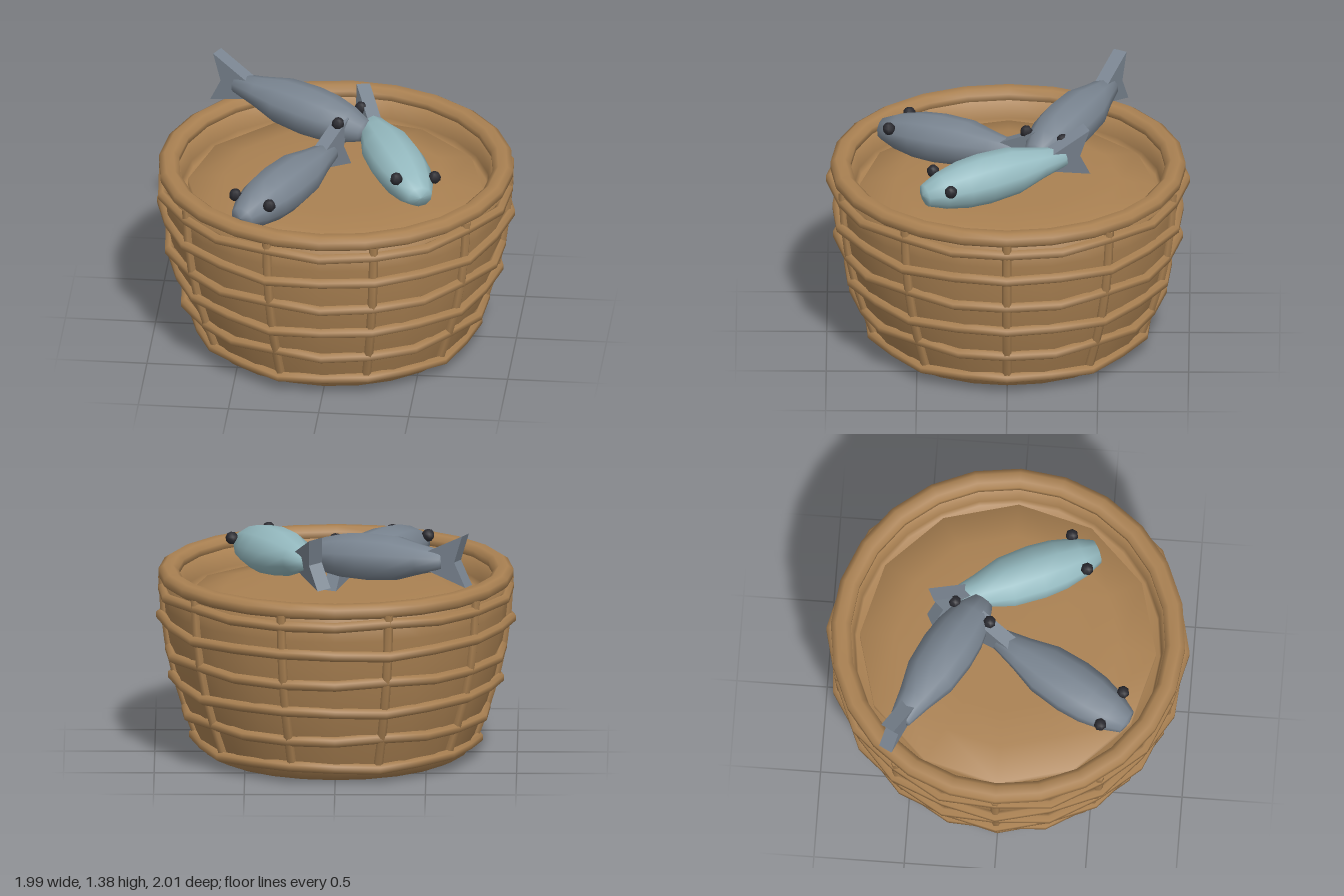
import * as THREE from 'three';

const mat = (name, color) => {
  const m = new THREE.MeshStandardMaterial({ color });
  m.name = name;
  return m;
};
const v2 = (pts) => pts.map(([x, y]) => new THREE.Vector2(x, y));

// Radius of the basket wall at height y
const wallRadius = (y) => 0.72 + 0.46 * y - 0.225 * y * y;
const around = (a, r, y) => new THREE.Vector3(Math.cos(a) * r, y, Math.sin(a) * r);

export function createModel() {
  const wicker = mat('wicker', 0xaa8152);
  const greyScale = mat('grey fish', 0x798490);
  const tealScale = mat('teal fish', 0x95bac0);
  const eyeBlack = mat('eye black', 0x2a2a30);
  const model = new THREE.Group();
  model.name = 'fishBasket';

  const add = (parent, name, geometry, material) => {
    const mesh = new THREE.Mesh(geometry, material);
    mesh.name = name;
    parent.add(mesh);
    return mesh;
  };

  // Basket wall with rounded foot, inner face and a ledge under the filling
  const wall = [[0, 0], [0.6, 0], [0.68, 0.004], [0.735, 0.03]];
  for (const y of [0.1, 0.25, 0.4, 0.55, 0.7, 0.85, 1.0]) wall.push([wallRadius(y), y]);
  wall.push([0.87, 1.0], [0.85, 0.9], [0.84, 0.86], [0.74, 0.85]);
  add(model, 'basketWall', new THREE.LatheGeometry(v2(wall), 24), wicker);

  // Shallow domed filling under the fish, with soft shoulders
  const filling = [[0.82, 0.82], [0.82, 0.9], [0.62, 0.937], [0.42, 0.945], [0, 0.947]];
  add(model, 'basketFilling', new THREE.LatheGeometry(v2(filling), 12), wicker);

  // Rolled rim
  const rim = [[0.9, 0.98], [0.955, 0.98], [0.98, 1.0], [0.98, 1.04], [0.95, 1.06],
    [0.9, 1.06], [0.87, 1.035], [0.87, 1.0], [0.9, 0.98]];
  add(model, 'rim', new THREE.LatheGeometry(v2(rim), 24), wicker);

  // Woven horizontal canes, swaying in and out on alternate rows
  for (let row = 0; row < 6; row++) {
    const y = 0.09 + row * 0.17;
    const points = [];
    for (let i = 0; i < 20; i++) {
      const a = (i / 20) * Math.PI * 2;
      const sway = 0.012 * Math.cos(10 * a + row * Math.PI);
      const lift = 0.008 * Math.cos(5 * a + row * Math.PI);
      points.push(around(a, wallRadius(y) + 0.014 + sway, y + lift));
    }
    const curve = new THREE.CatmullRomCurve3(points, true);
    add(model, 'wovenCane', new THREE.TubeGeometry(curve, 20, 0.03, 6, true), wicker);
  }

  // Upright stakes
  for (let i = 0; i < 10; i++) {
    const a = (i / 10) * Math.PI * 2;
    const points = [0.1, 0.4, 0.7, 1.0].map((y) => around(a, wallRadius(y) + 0.004, y));
    const curve = new THREE.CatmullRomCurve3(points);
    add(model, 'stake', new THREE.TubeGeometry(curve, 5, 0.026, 6), wicker);
  }

  // Fish body along z, head at +z
  const bodyGeo = new THREE.LatheGeometry(v2([[0, -0.43], [0.062, -0.425], [0.097, -0.28],
    [0.146, -0.12], [0.157, 0.06], [0.147, 0.19], [0.115, 0.32], [0.07, 0.42], [0, 0.435]]), 10);
  bodyGeo.rotateX(Math.PI / 2).scale(1, 0.85, 1);

  // Notched tail fin, a thick upright slab
  const finShape = new THREE.Shape(v2([[0.33, -0.05], [0.57, -0.14], [0.51, 0],
    [0.57, 0.15], [0.33, 0.05]]));
  const finGeo = new THREE.ExtrudeGeometry(finShape, { depth: 0.08, bevelEnabled: false });
  finGeo.translate(0, 0, -0.04).rotateY(Math.PI / 2);
  const eyeGeo = new THREE.SphereGeometry(0.036, 7, 5);

  const addFish = (name, material, [x, y, z], [dx, dz], pitch, roll) => {
    const fish = new THREE.Group();
    fish.name = name;
    add(fish, 'fishBody', bodyGeo, material);
    add(fish, 'tailFin', finGeo, greyScale);
    for (const side of [-1, 1]) {
      add(fish, 'eye', eyeGeo, eyeBlack).position.set(side * 0.114, 0.06, 0.315);
    }
    fish.position.set(x, y, z);
    fish.rotation.set(pitch, Math.atan2(dx, dz), roll, 'YXZ');
    model.add(fish);
  };
  addFish('backFish', greyScale, [-0.226, 1.192, -0.352], [0.88, 0.47], 0.07, 0);
  addFish('leftFish', tealScale, [0.33, 1.118, 0.077], [0.43, 0.9], 0.08, -0.14);
  addFish('frontFish', greyScale, [-0.25, 1.058, 0.326], [-0.49, 0.87], 0.07, 0);

  return model;
}
